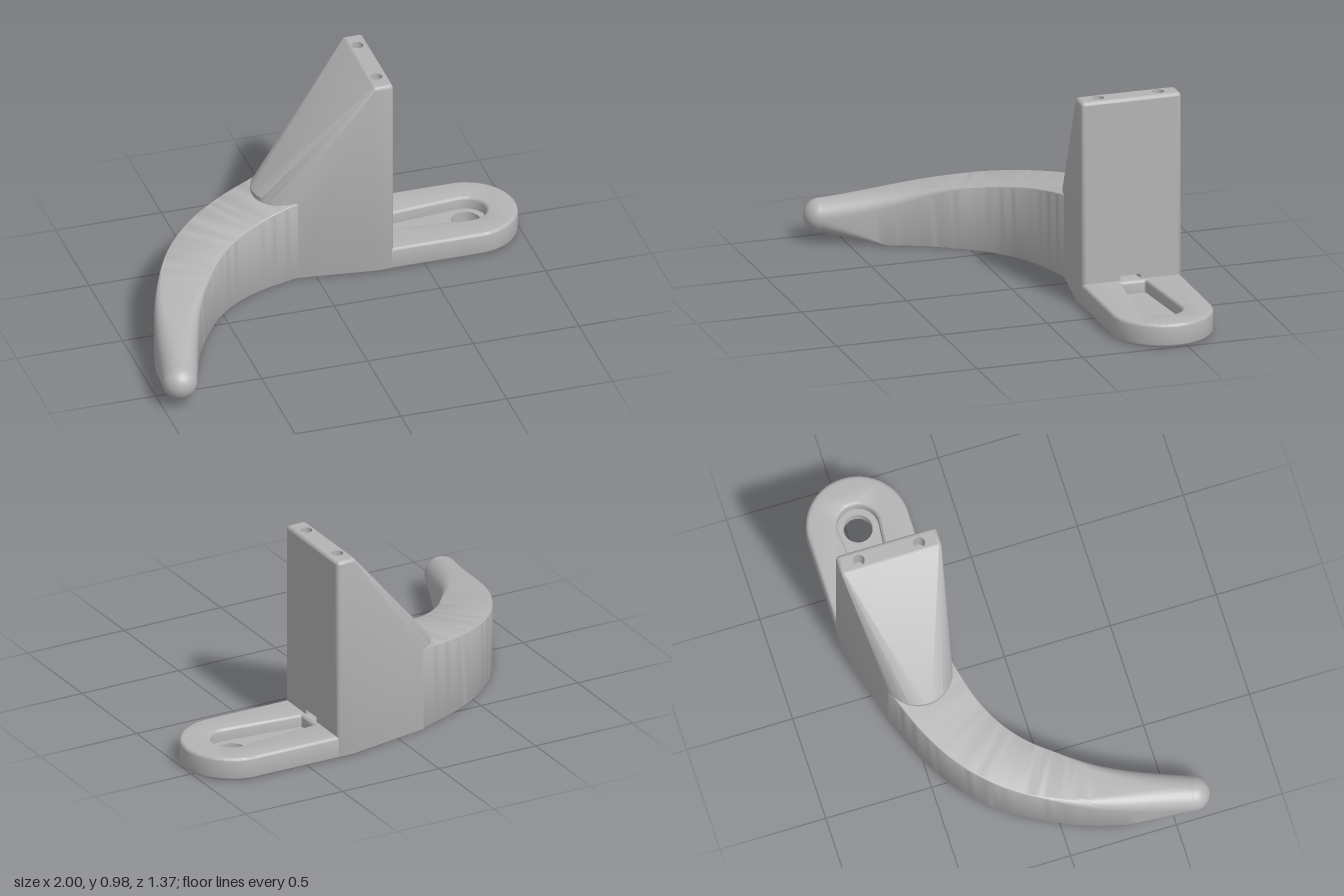
import * as THREE from 'three';
import { toCreasedNormals } from 'three/addons/utils/BufferGeometryUtils.js';
import { RoundedBoxGeometry } from 'three/addons/geometries/RoundedBoxGeometry.js';
import { ConvexGeometry } from 'three/addons/geometries/ConvexGeometry.js';

const grey = new THREE.MeshStandardMaterial({ color: 0xb4b4b4, side: THREE.DoubleSide });
grey.name = 'plain grey';

const ZC = -0.4525;                       // centre line of plate and upright
const X0 = 0.25, X1 = 0.35, H = 0.975, W = 0.475, R = 0.017;
const ROOT = [-0.09, -0.44], ROOT_R = 0.16, ROOT_H = 0.4;

function add(group, name, geometry) {
  const mesh = new THREE.Mesh(geometry, grey);
  mesh.name = name;
  group.add(mesh);
  return mesh;
}

function rect(x0, y0, x1, y1, Type = THREE.Shape) {
  const s = new Type();
  s.moveTo(x0, y0).lineTo(x1, y0).lineTo(x1, y1).lineTo(x0, y1).closePath();
  return s;
}

function circle(x, y, r) {
  const p = new THREE.Path();
  p.absarc(x, y, r, 0, Math.PI * 2, true);
  return p;
}

// Upright: hull of a thin rounded slab and the round root of the arm
function buildUpright() {
  const group = new THREE.Group();
  group.name = 'upright';
  const slab = new RoundedBoxGeometry(X1 - X0, H, W, 3, R);
  slab.translate((X0 + X1) / 2, H / 2, ZC);
  const pos = slab.attributes.position;
  const points = [];
  for (let i = 0; i < pos.count; i++) points.push(new THREE.Vector3().fromBufferAttribute(pos, i));
  for (let i = 0; i < 48; i++) {
    const a = (i / 48) * Math.PI * 2;
    const x = ROOT[0] + ROOT_R * Math.cos(a), z = ROOT[1] + ROOT_R * Math.sin(a);
    points.push(new THREE.Vector3(x, 0, z), new THREE.Vector3(x, ROOT_H, z));
  }
  const hull = new ConvexGeometry(points);

  // Leave out the two flat faces that carry holes
  const src = hull.attributes.position.array, kept = [];
  for (let i = 0; i < src.length; i += 9) {
    const onTop = [1, 4, 7].every((k) => src[i + k] > H - 1e-4);
    const onSide = [0, 3, 6].every((k) => src[i + k] > X1 - 1e-4);
    if (!onTop && !onSide) for (let k = 0; k < 9; k++) kept.push(src[i + k]);
  }
  const body = new THREE.BufferGeometry();
  body.setAttribute('position', new THREE.Float32BufferAttribute(kept, 3));
  add(group, 'uprightBody', toCreasedNormals(body, 0.55));

  // Top face with two pin holes
  const zHalf = W / 2 - R;
  const top = rect(X0 + R, -ZC - zHalf, X1 - R, -ZC + zHalf);
  for (const z of [-0.595, -0.31]) {
    top.holes.push(circle(0.298, -z, 0.027));
    const bore = new THREE.LatheGeometry(
      [[0, -0.1], [0.027, -0.1], [0.027, 0]].map((p) => new THREE.Vector2(...p)), 24);
    add(group, 'pinHole', toCreasedNormals(bore, 0.5)).position.set(0.298, H, z);
  }
  add(group, 'uprightTop', new THREE.ShapeGeometry(top, 24).rotateX(-Math.PI / 2).translate(0, H, 0));

  // Side face with a small pocket just above the plate
  const side = rect(-ZC - zHalf, R, -ZC + zHalf, H - R);
  side.holes.push(rect(0.4, 0.09, 0.495, 0.133, THREE.Path));
  add(group, 'uprightSide', new THREE.ShapeGeometry(side).rotateY(Math.PI / 2).translate(X1, 0, 0));
  const pocket = new THREE.BoxGeometry(0.08, 0.043, 0.095);
  pocket.setIndex(Array.from(pocket.index.array).slice(6));   // open towards +x
  add(group, 'pocket', pocket).position.set(X1 - 0.04, 0.1115, -0.4475);
  return group;
}

// Mounting plate: round-ended slab with a tapered slot and a bolt hole
function buildPlate() {
  const group = new THREE.Group();
  group.name = 'mountingPlate';
  const cx = 0.765, bevel = 0.015, r = 0.235 - bevel;
  const outline = new THREE.Shape();
  outline.moveTo(0.27, -r).lineTo(cx, -r);
  outline.absarc(cx, 0, r, -Math.PI / 2, Math.PI / 2, false);
  outline.lineTo(0.27, r).closePath();

  const slot = (Type) => {
    const s = new Type(), a = Math.PI / 2 + 0.09;
    s.moveTo(0.365, 0.073).lineTo(0.355, 0.06).lineTo(0.355, -0.06).lineTo(0.365, -0.073);
    s.absarc(cx, 0, 0.11, -a, a, false);
    s.closePath();
    return s;
  };
  outline.holes.push(slot(THREE.Path));
  const rim = new THREE.ExtrudeGeometry(outline, {
    depth: 0.11 - 2 * bevel, bevelThickness: bevel, bevelSize: bevel, bevelSegments: 3, curveSegments: 32,
  });
  rim.rotateX(Math.PI / 2).translate(0, 0.11 - bevel, ZC);
  add(group, 'plateRim', toCreasedNormals(rim, 0.55));

  const floor = slot(THREE.Shape);
  floor.holes.push(circle(cx, 0, 0.066));
  const floorGeo = new THREE.ExtrudeGeometry(floor, { depth: 0.05, bevelEnabled: false, curveSegments: 32 });
  floorGeo.rotateX(Math.PI / 2).translate(0, 0.05, ZC);
  add(group, 'slotFloor', toCreasedNormals(floorGeo, 0.55));
  return group;
}

// Curved arm: box-like sections that shrink and become round at the tip
function buildArm() {
  const group = new THREE.Group();
  group.name = 'arm';
  const path = new THREE.CatmullRomCurve3([
    ROOT, [-0.315, -0.362], [-0.475, -0.272], [-0.61, -0.145],
    [-0.71, 0.005], [-0.785, 0.15], [-0.835, 0.29], [-0.92, 0.6],
  ].map(([x, z]) => new THREE.Vector3(x, 0, z)));
  const steps = 56, arc = 8, ring = 4 * (arc + 1);
  const verts = [], index = [];
  for (let i = 0; i <= steps; i++) {
    const s = i / steps;
    const p = path.getPointAt(s), t = path.getTangentAt(s);
    const w = THREE.MathUtils.lerp(ROOT_R, 0.08, s);
    const top = THREE.MathUtils.lerp(ROOT_H, 0.2, s);
    const bottom = 0.04 * Math.max(0, (s - 0.79) / 0.21);
    const cTop = Math.max(0.006, w * THREE.MathUtils.smoothstep(s, 0.45, 1));
    const cBottom = Math.max(0.004, w * Math.max(0, (s - 0.79) / 0.21));
    for (let q = 0; q < 4; q++) {
      const c = q < 2 ? cTop : cBottom;
      const sx = q === 0 || q === 3 ? 1 : -1;
      const cy = q < 2 ? top - c : bottom + c;
      for (let k = 0; k <= arc; k++) {
        const a = (q + k / arc) * Math.PI / 2;
        const u = sx * (w - c) + c * Math.cos(a);
        verts.push(p.x - t.z * u, cy + c * Math.sin(a), p.z + t.x * u);
      }
    }
  }
  for (let i = 0; i < steps; i++) {
    for (let j = 0; j < ring; j++) {
      const a = i * ring + j, b = i * ring + (j + 1) % ring;
      index.push(a, b, a + ring, b, b + ring, a + ring);
    }
  }
  const geo = new THREE.BufferGeometry();
  geo.setAttribute('position', new THREE.Float32BufferAttribute(verts, 3));
  geo.setIndex(index);
  // Make sure the skin faces outwards: the first side quad must point along +u
  const t0 = path.getTangentAt(0), n = new THREE.Vector3();
  const v = (k) => new THREE.Vector3().fromArray(verts, k * 3);
  n.subVectors(v(ring - 1), v(0)).cross(new THREE.Vector3().subVectors(v(ring), v(0)));
  if (n.dot(new THREE.Vector3(-t0.z, 0, t0.x)) > 0) {
    for (let k = 0; k < index.length; k += 3) [index[k], index[k + 1]] = [index[k + 1], index[k]];
    geo.setIndex(index);
  }
  add(group, 'armBody', toCreasedNormals(geo, 0.5));
  add(group, 'armTip', new THREE.SphereGeometry(0.08, 32, 24)).position.set(-0.92, 0.12, 0.6);
  return group;
}

export function createModel() {
  const model = new THREE.Group();
  model.name = 'hookBracket';
  model.add(buildUpright(), buildPlate(), buildArm());
  return model;
}
